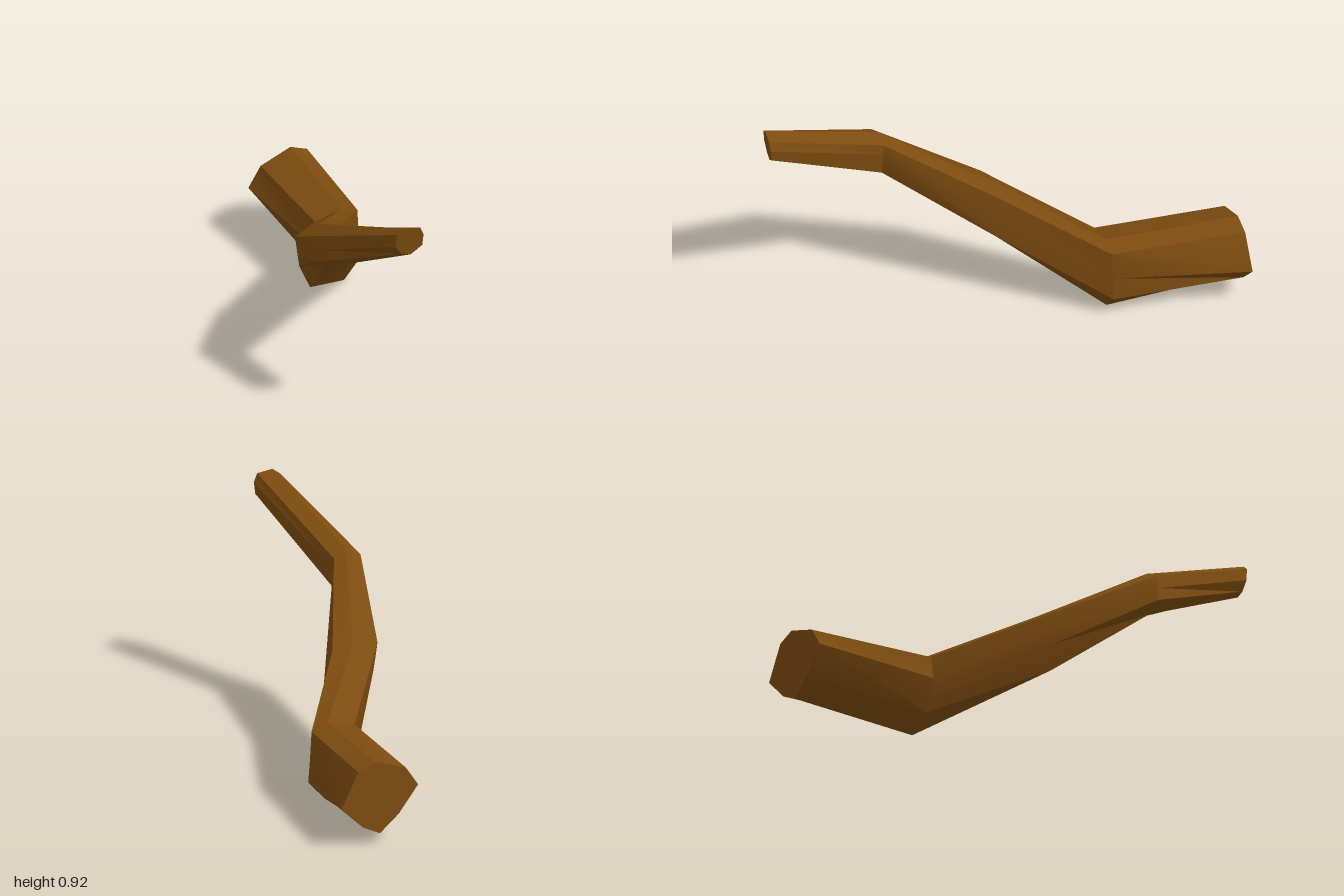
import * as THREE from 'three';
import { toCreasedNormals } from 'three/addons/utils/BufferGeometryUtils.js';

// Eight-sided cross-sections from the thick end to the tip: x, y pairs,
// with z following a tilted plane z = z0 + sx * x + sy * y.
const rings = [
  { z0: -0.94, sx: -0.355, sy: 0,
    p: [0.17, 0.18, 0.095, 0.325, 0.02, 0.355, -0.115, 0.305, -0.17, 0.22, -0.085, 0.11, 0, 0.04, 0.075, 0.08] },
  { z0: -0.36, sx: -0.34, sy: 0,
    p: [0.197, 0.185, 0.19, 0.305, 0.12, 0.33, 0, 0.3, -0.015, 0.2, 0.035, 0.065, 0.13, 0, 0.205, 0.085] },
  { z0: 0.109, sx: -0.35, sy: -0.15,
    p: [0.045, 0.39, 0.02, 0.48, -0.07, 0.5, -0.18, 0.475, -0.173, 0.41, -0.165, 0.345, -0.12, 0.245, 0.055, 0.31] },
  { z0: 0.475, sx: -0.36, sy: 0,
    p: [-0.068, 0.655, -0.072, 0.7, -0.125, 0.73, -0.19, 0.695, -0.2, 0.635, -0.205, 0.58, -0.145, 0.54, -0.085, 0.55] },
  { z0: 0.92, sx: -0.2, sy: 0.1,
    p: [0.175, 0.875, 0.16, 0.91, 0.095, 0.92, 0.06, 0.895, 0.052, 0.84, 0.08, 0.8, 0.12, 0.79, 0.17, 0.825] },
];
const SIDES = 8;

function branchGeometry() {
  const positions = [];
  for (const { z0, sx, sy, p } of rings) {
    for (let i = 0; i < SIDES; i++) {
      const x = p[2 * i], y = p[2 * i + 1];
      positions.push(x, y, z0 + sx * x + sy * y);
    }
  }
  const index = [];
  // Bark panels between neighbouring rings
  for (let k = 0; k < rings.length - 1; k++) {
    for (let i = 0; i < SIDES; i++) {
      const a = k * SIDES + i, b = k * SIDES + (i + 1) % SIDES;
      index.push(a, b, b + SIDES, a, b + SIDES, a + SIDES);
    }
  }
  // Cut ends
  const tip = (rings.length - 1) * SIDES;
  for (let i = 1; i < SIDES - 1; i++) {
    index.push(0, i + 1, i);
    index.push(tip, tip + i, tip + i + 1);
  }
  const geometry = new THREE.BufferGeometry();
  geometry.setAttribute('position', new THREE.Float32BufferAttribute(positions, 3));
  geometry.setIndex(index);
  return toCreasedNormals(geometry, 0.5);
}

export function createModel() {
  const bark = new THREE.MeshStandardMaterial({ color: 0x7c4b10 });
  bark.name = 'brown bark';

  const branch = new THREE.Mesh(branchGeometry(), bark);
  branch.name = 'branch';

  const model = new THREE.Group();
  model.name = 'bent branch';
  model.add(branch);
  return model;
}
